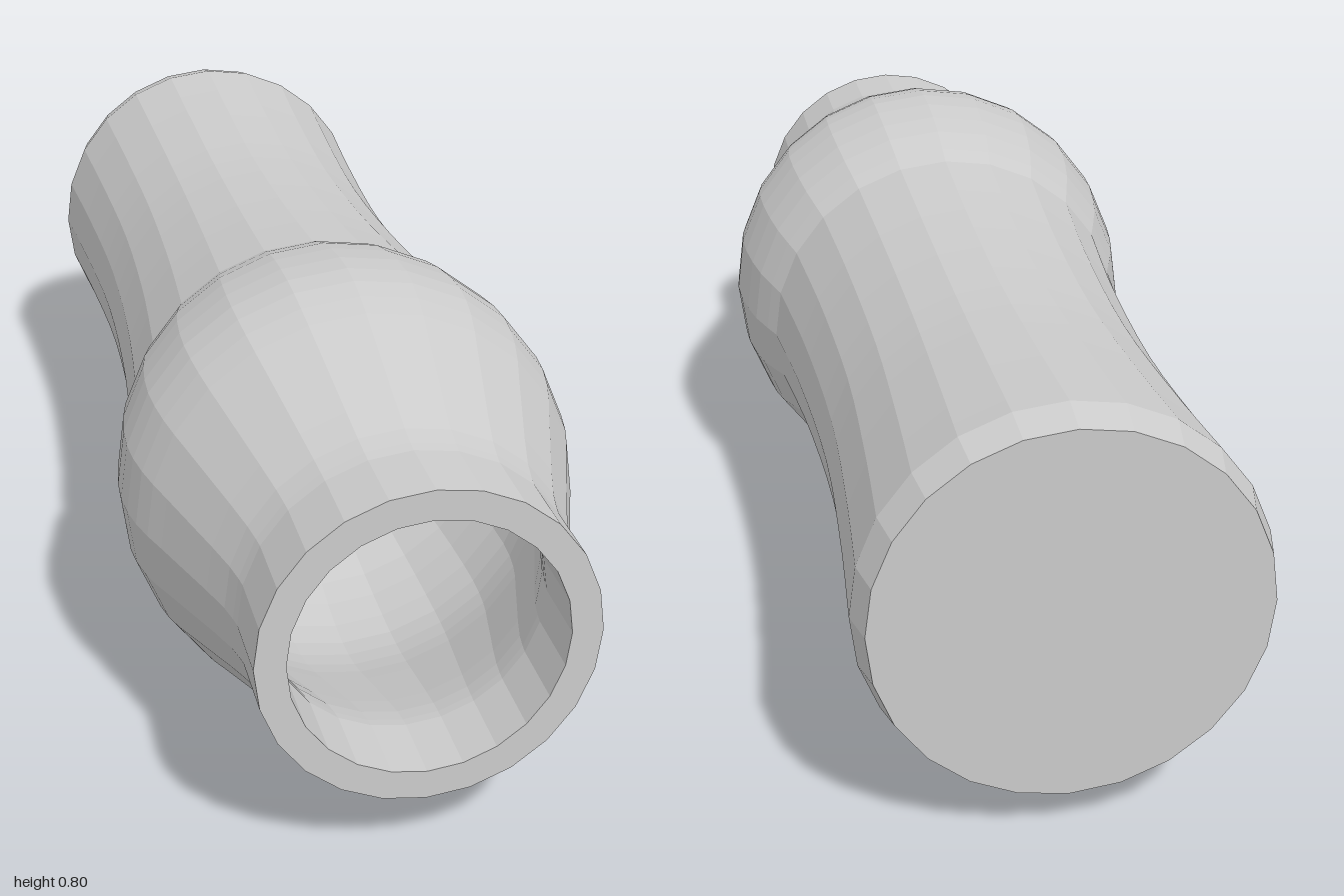
import * as THREE from 'three';

const SIDES = 24;
const WALL = 0.05;
const CENTRE_Y = 0.4;

// Smooth run of [radius, z] stations
function smooth(stations, steps) {
  const curve = new THREE.SplineCurve(stations.map(([r, z]) => new THREE.Vector2(r, z)));
  return curve.getPoints(steps);
}

const line = (stations) => stations.map(([r, z]) => new THREE.Vector2(r, z));

export function createModel() {
  const group = new THREE.Group();
  const material = new THREE.MeshStandardMaterial({ color: 0xcccccc, flatShading: true });

  // Turned part around the z axis
  function turned(name, points) {
    const geometry = new THREE.LatheGeometry(points, SIDES);
    geometry.rotateX(Math.PI / 2);
    const mesh = new THREE.Mesh(geometry, material);
    mesh.name = name;
    mesh.position.y = CENTRE_Y;
    group.add(mesh);
  }

  const waist = smooth([[0.338, -0.935], [0.322, -0.7], [0.311, -0.41], [0.322, -0.1], [0.345, 0.16]], 14);
  const bulb = smooth([[0.345, 0.16], [0.382, 0.27], [0.4, 0.41], [0.387, 0.52], [0.351, 0.63], [0.293, 0.8], [0.278, 0.87]], 14);

  // Closed back end with its bevel
  turned('base', line([[0, -1], [0.322, -1], [0.338, -0.935]]));
  // Concave handle section and rounded belly
  turned('waist', waist);
  turned('bulb', bulb);
  // Straight neck and flat rim
  turned('neck', line([[0.278, 0.87], [0.278, 1], [0.227, 1]]));

  // Hollow inside, following the outer wall
  const inner = [...waist, ...bulb.slice(1)].reverse()
    .map((p) => new THREE.Vector2(p.x - WALL, p.y));
  turned('cavity', [
    new THREE.Vector2(0.227, 1),
    ...inner,
    new THREE.Vector2(0, -0.935),
  ]);

  return group;
}
